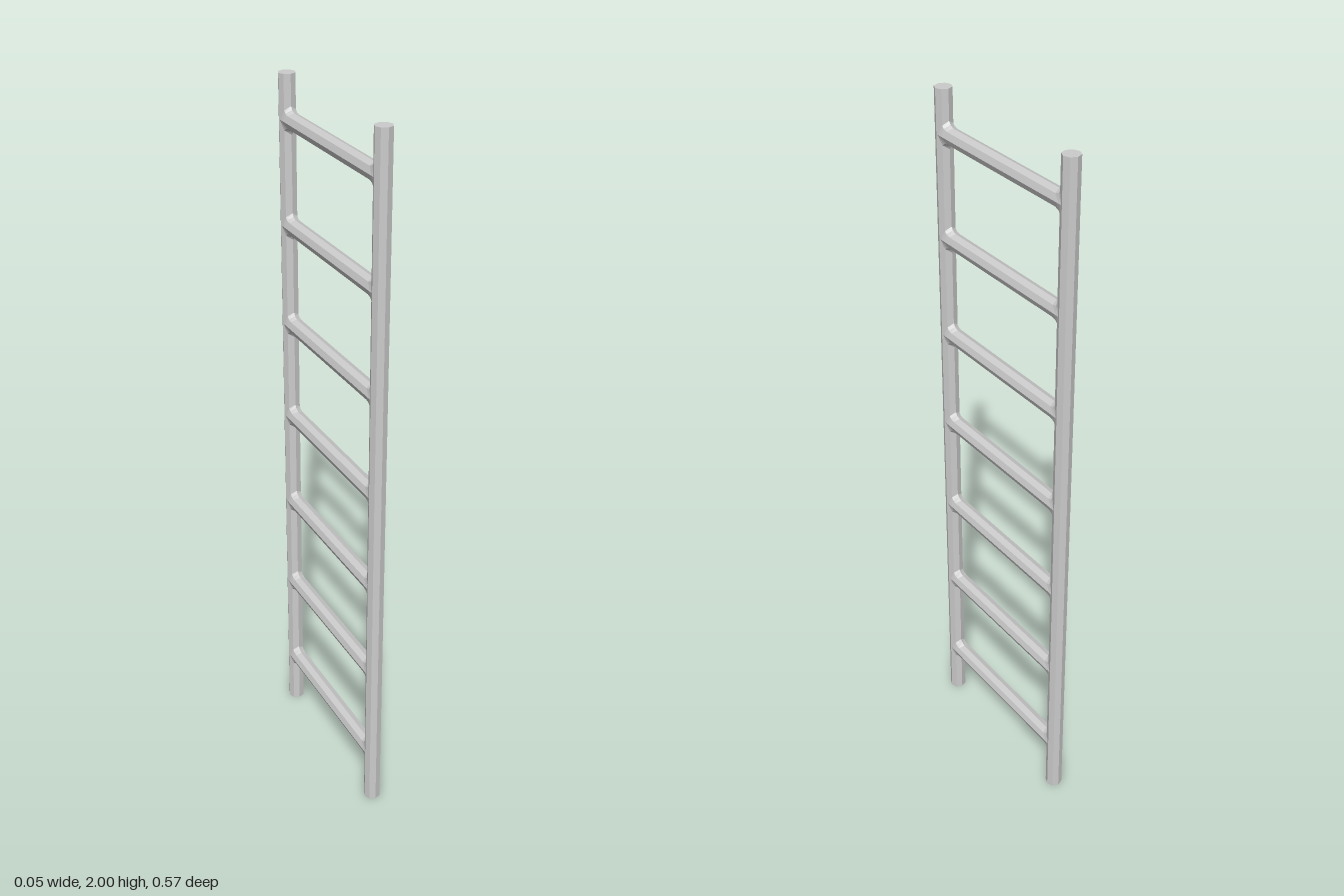
import * as THREE from 'three';

const RAIL_R = 0.0237, RAIL_Z = 0.26, RUNG_R = 0.0232;
const RUNG_COUNT = 7, FIRST_RUNG = 0.165, RUNG_STEP = 0.286;

// Octagonal bar along z whose ends flare up and down and hug the round rails.
function rungGeometry() {
  const inset = [-0.001, 0.006, 0.018]; // distance of each end ring from the rail surface
  const flare = [1.65, 1.22, 1];        // height factor of each end ring
  const g = new THREE.CylinderGeometry(RUNG_R, RUNG_R, 1, 8, 5, true);
  g.rotateX(Math.PI / 2);
  const p = g.attributes.position;
  for (let i = 0; i < p.count; i++) {
    const row = Math.round((p.getZ(i) + 0.5) * 5);
    const ring = Math.min(row, 5 - row);
    const x = p.getX(i);
    const surface = RAIL_Z - Math.sqrt(RAIL_R * RAIL_R - x * x);
    p.setY(i, p.getY(i) * flare[ring]);
    p.setZ(i, Math.sign(p.getZ(i)) * (surface - inset[ring]));
  }
  g.computeVertexNormals();
  return g;
}

export function createModel() {
  const model = new THREE.Group();
  model.name = 'ladder';
  const material = new THREE.MeshStandardMaterial({ color: 0xcccccc, flatShading: true });

  // Two upright rails
  const railGeometry = new THREE.CylinderGeometry(RAIL_R, RAIL_R, 2, 8);
  for (const side of [1, -1]) {
    const rail = new THREE.Mesh(railGeometry, material);
    rail.name = side > 0 ? 'frontRail' : 'backRail';
    rail.position.set(0, 1, side * RAIL_Z);
    model.add(rail);
  }

  // Evenly spaced rungs
  const geometry = rungGeometry();
  for (let i = 0; i < RUNG_COUNT; i++) {
    const rung = new THREE.Mesh(geometry, material);
    rung.name = `rung${i + 1}`;
    rung.position.y = FIRST_RUNG + i * RUNG_STEP;
    model.add(rung);
  }
  return model;
}
